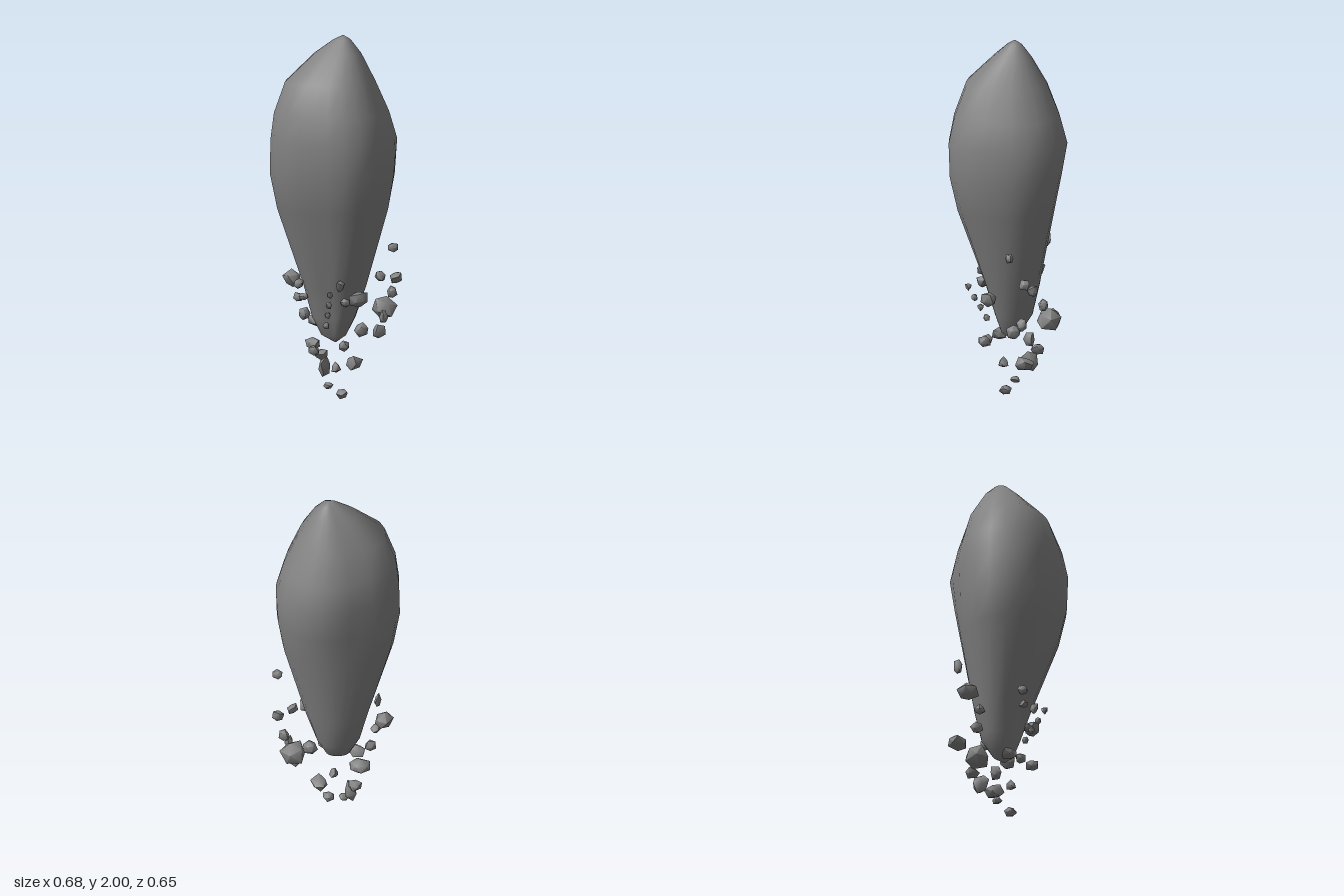
import * as THREE from 'three';
import { mergeVertices, toCreasedNormals } from 'three/addons/utils/BufferGeometryUtils.js';

const SEGMENTS = 24;

// Main rock sections: height, then reach towards +x, +z, -x and -z
const SECTIONS = [
  [0.31, 0, 0, 0, 0],
  [0.35, .055, .045, .08, .06],
  [0.45, .10, .075, .135, .125],
  [0.62, .165, .12, .18, .165],
  [1.05, .29, .27, .305, .25],
  [1.24, .32, .315, .335, .288],
  [1.43, .322, .323, .33, .322],
  [1.58, .28, .298, .315, .28],
  [1.75, .207, .24, .26, .21],
  [1.9, .11, .11, .14, .105],
  [1.975, .04, .04, .05, .04],
  [2, 0, 0, 0, 0],
];
// How far the diagonals bulge out or in, starting between +x and +z
const BULGE = [.11, .11, -.16, .07];

// Fragments: x, y, z, width, height
const FRAGMENTS = [
  [.31, .84, -.07, .055, .05], [-.27, .81, -.14, .04, .08], [-.29, .64, -.07, .1, .1],
  [-.14, .65, .19, .06, .06], [-.11, .58, .18, .05, .04], [-.23, .545, -.03, .055, .05],
  [.21, .67, -.13, .06, .055], [.275, .655, -.19, .065, .06], [.085, .64, .14, .04, .065],
  [.17, .565, .08, .09, .08], [.23, .57, -.24, .055, .07], [.095, .545, .09, .055, .05],
  [.18, .48, -.26, .13, .12], [.235, .45, -.12, .05, .07], [-.21, .45, -.06, .06, .07],
  [-.18, .4, -.19, .12, .09], [.13, .38, -.05, .085, .085], [.19, .36, -.15, .07, .08],
  [-.1, .31, .08, .09, .07], [-.07, .28, .14, .07, .055], [.1, .31, .12, .07, .06],
  [-.14, .22, -.12, .075, .055], [-.11, .16, -.085, .07, .12], [.02, .18, .03, .05, .06],
  [.07, .19, -.1, .09, .08], [-.05, .065, -.02, .055, .04], [.045, .03, .015, .065, .055],
];

// Eight radii of a section, with the diagonals derived from their neighbours
function sectionRadii([y, ...reach]) {
  const bulge = 0.3 + 0.7 * THREE.MathUtils.smoothstep(y, 0.6, 1.15);
  return reach.flatMap((r, i) => [r, (r + reach[(i + 1) % 4]) / 2 * (1 + BULGE[i] * bulge)]);
}

// Smooth periodic interpolation through the eight radii
function radiusAt(radii, turn) {
  const i = Math.floor(turn * 8), t = turn * 8 - i;
  const [a, b, c, d] = [-1, 0, 1, 2].map((k) => radii[(i + k + 8) % 8]);
  return b + 0.5 * t * (c - a + t * (2 * a - 5 * b + 4 * c - d + t * (3 * (b - c) + d - a)));
}

function rockGeometry() {
  const points = [], index = [];
  SECTIONS.forEach((section, j) => {
    const y = section[0], radii = sectionRadii(section);
    // The peak leans a little off centre
    const lean = THREE.MathUtils.smoothstep(y, 1.75, 2);
    for (let i = 0; i < SEGMENTS; i++) {
      const angle = (i / SEGMENTS) * Math.PI * 2;
      const r = radiusAt(radii, i / SEGMENTS);
      points.push(0.03 * lean + r * Math.cos(angle), y, -0.035 * lean + r * Math.sin(angle));
      if (j === SECTIONS.length - 1) continue;
      const p = j * SEGMENTS + i, q = j * SEGMENTS + ((i + 1) % SEGMENTS);
      index.push(p, p + SEGMENTS, q, q, p + SEGMENTS, q + SEGMENTS);
    }
  });
  const geometry = new THREE.BufferGeometry();
  geometry.setAttribute('position', new THREE.Float32BufferAttribute(points, 3));
  geometry.setIndex(index);
  const merged = mergeVertices(geometry, 1e-5);
  merged.computeVertexNormals();
  return merged;
}

function seeded(seed) {
  return () => {
    seed = (seed * 16807) % 2147483647;
    return seed / 2147483647;
  };
}

// Irregular worn stone fitted to the given width, height and depth
function fragmentGeometry(random, width, height, depth) {
  let geometry = new THREE.IcosahedronGeometry(1, 0);
  geometry.deleteAttribute('normal');
  geometry.deleteAttribute('uv');
  geometry = mergeVertices(geometry, 1e-4);
  const position = geometry.attributes.position;
  const v = new THREE.Vector3();
  for (let i = 0; i < position.count; i++) {
    v.fromBufferAttribute(position, i).multiplyScalar(0.75 + 0.45 * random());
    position.setXYZ(i, v.x, v.y, v.z);
  }
  geometry.rotateX(random() * 6).rotateY(random() * 6).rotateZ(random() * 6);
  geometry.center();
  geometry.boundingBox.getSize(v);
  geometry.scale(width / v.x, height / v.y, depth / v.z);
  return toCreasedNormals(geometry, 1.05);
}

export function createModel() {
  const model = new THREE.Group();
  model.name = 'floatingRock';
  const stone = new THREE.MeshStandardMaterial({ color: 0x828282 });
  stone.name = 'grey stone';

  // Main tapered rock
  const rock = new THREE.Mesh(rockGeometry(), stone);
  rock.name = 'mainRock';
  model.add(rock);

  // Loose fragments around the lower end
  const random = seeded(4217);
  const fragments = new THREE.Group();
  fragments.name = 'fragments';
  model.add(fragments);
  const addFragment = (x, y, z, width, height) => {
    const depth = (width + height) / 2 * (0.85 + 0.3 * random());
    const mesh = new THREE.Mesh(fragmentGeometry(random, width, height, depth), stone);
    mesh.name = 'fragment';
    mesh.position.set(x, y, z);
    fragments.add(mesh);
  };
  for (const fragment of FRAGMENTS) addFragment(...fragment);

  // Tiny chips close to the front of the rock
  for (let i = 0; i < 4; i++) {
    addFragment(0.06 - 0.02 * i, 0.6 - 0.06 * i, 0.22 - 0.03 * i, 0.035, 0.04);
  }
  return model;
}
